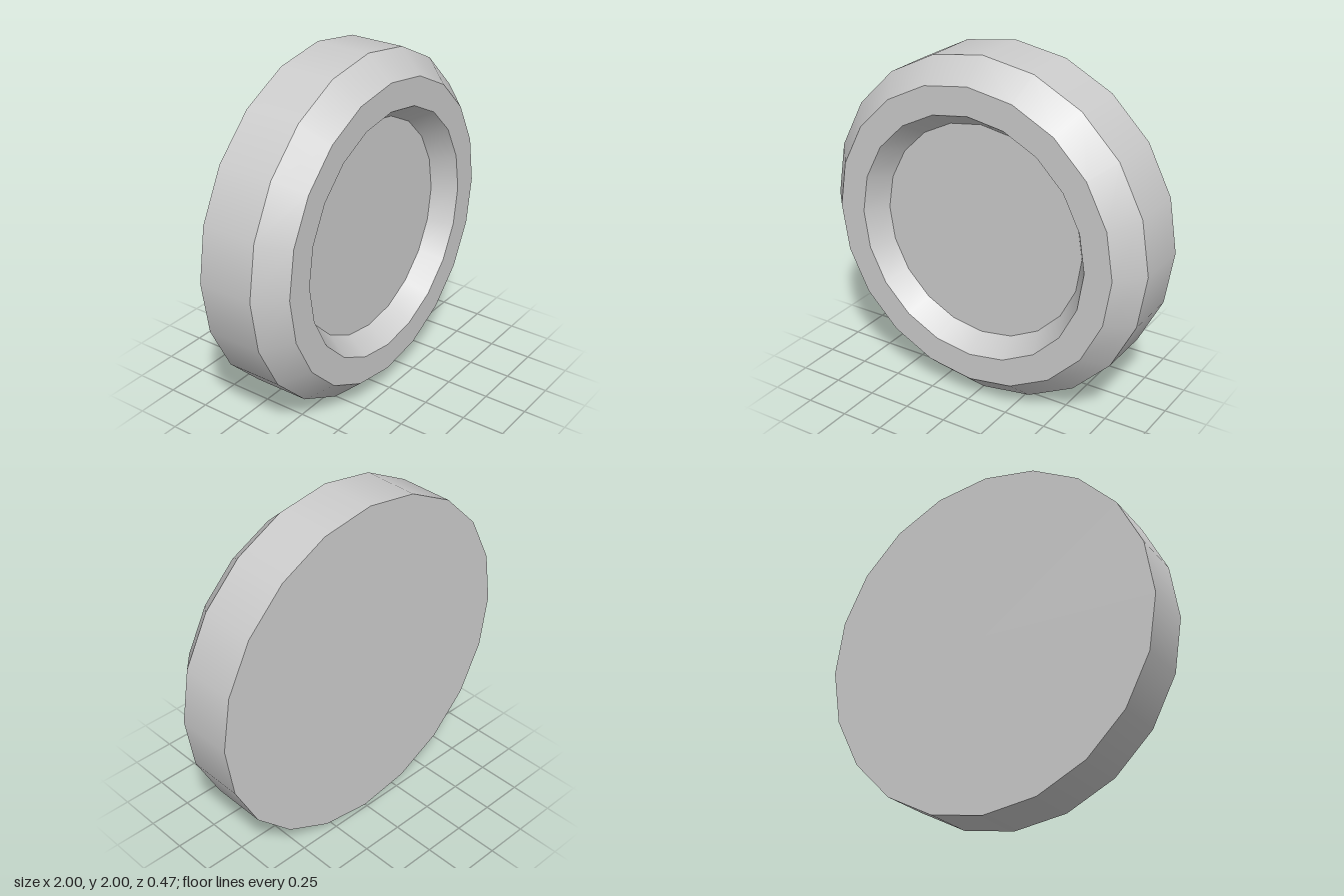
import * as THREE from 'three';

const SIDES = 20;

export function createModel() {
  const group = new THREE.Group();
  const grey = new THREE.MeshStandardMaterial({ color: 0xcccccc });
  grey.name = 'light grey';

  // Profile from the back centre, round the rim, to the recess centre: [radius, z]
  const profile = [
    [0, -0.235], [1, -0.235], [1, 0.09], [0.87, 0.235],
    [0.71, 0.235], [0.625, 0.105], [0, 0.105],
  ].map(([r, z]) => new THREE.Vector2(r, z));
  const names = ['backFace', 'outerWall', 'frontBevel', 'frontRim', 'recessWall', 'recessFloor'];

  // One band per profile segment: smooth around, sharp between bands
  names.forEach((name, i) => {
    const band = new THREE.LatheGeometry([profile[i], profile[i + 1]], SIDES);
    band.rotateX(Math.PI / 2); // lathe axis to +z
    band.translate(0, 1, 0);
    const mesh = new THREE.Mesh(band, grey);
    mesh.name = name;
    group.add(mesh);
  });

  group.name = 'dishedDisc';
  return group;
}
